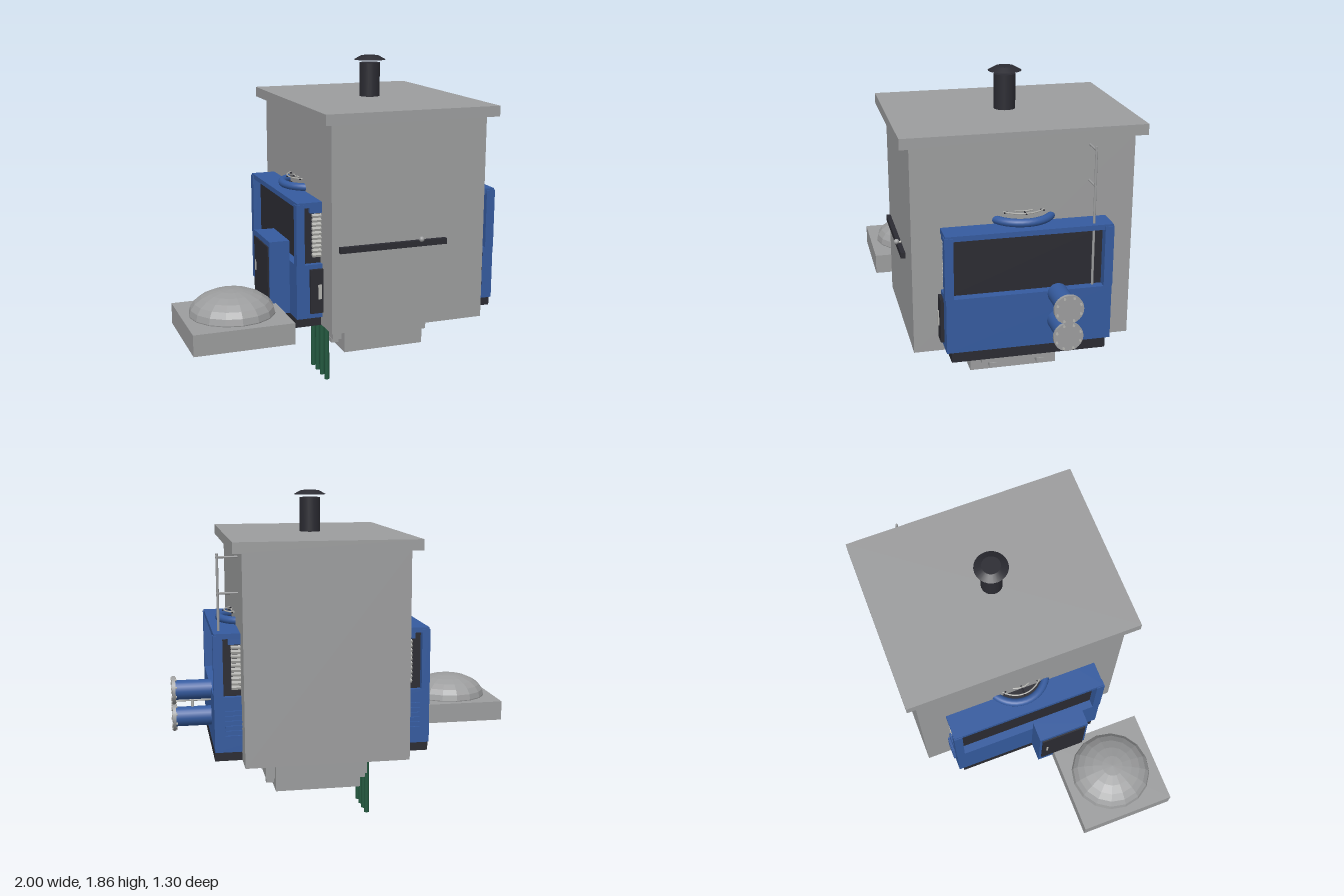
import * as THREE from 'three';

const mat = (name, color, double = false) => {
  const m = new THREE.MeshStandardMaterial({ color });
  m.name = name;
  if (double) m.side = THREE.DoubleSide;
  return m;
};

export function createModel() {
  const root = new THREE.Group();
  root.name = 'machineHouse';
  const grey = mat('concreteGrey', 0x9c9d9e);
  const blue = mat('machineBlue', 0x355b9f);
  const dark = mat('charcoal', 0x2b2b32);
  const pale = mat('paleMetal', 0xb4b4b0);
  const green = mat('conduitGreen', 0x23583f);
  const orange = mat('vesselOrange', 0xb4682c);

  const add = (name, geo, m, x = 0, y = 0, z = 0) => {
    const mesh = new THREE.Mesh(geo, m);
    mesh.name = name;
    mesh.position.set(x, y, z);
    root.add(mesh);
    return mesh;
  };
  // Box given by its limits on each axis
  const box = (name, m, x0, x1, y0, y1, z0, z1) =>
    add(name, new THREE.BoxGeometry(x1 - x0, y1 - y0, z1 - z0), m, (x0 + x1) / 2, (y0 + y1) / 2, (z0 + z1) / 2);
  const rod = (name, m, r, len, axis, x, y, z, sides = 16) => {
    const g = new THREE.CylinderGeometry(r, r, len, sides);
    if (axis === 'x') g.rotateZ(Math.PI / 2);
    if (axis === 'z') g.rotateX(Math.PI / 2);
    return add(name, g, m, x, y, z);
  };
  const CX = 0.2, CZ = -0.012; // centre of the house

  // House and roof
  box('houseWalls', grey, -0.24, 0.64, 0.45, 1.575, -0.6, 0.575);
  box('roofSlab', grey, -0.29, 0.69, 1.575, 1.632, -0.652, 0.628);

  // Chimney with a floating rain cap
  rod('chimney', dark, 0.058, 0.19, 'y', CX, 1.725, CZ, 24);
  add('chimneyCap', new THREE.CylinderGeometry(0.05, 0.09, 0.022, 24), dark, CX, 1.848, CZ);

  // Front rail and its knob
  box('frontRail', dark, -0.2, 0.41, 0.895, 0.927, 0.575, 0.6);
  rod('railKnobStem', pale, 0.006, 0.035, 'z', 0.26, 0.932, 0.595, 8);
  add('railKnob', new THREE.SphereGeometry(0.015, 12, 8), grey, 0.26, 0.935, 0.602);

  // Machine: base, lower body, recessed core, corner posts and top
  box('machineBase', dark, -0.385, 0.785, 0.446, 0.5, -0.425, 0.4);
  box('lowerBody', blue, -0.385, 0.785, 0.5, 0.8, -0.452, 0.425);
  box('recessedCore', dark, -0.34, 0.735, 0.8, 1.115, -0.42, 0.395);
  box('machineTop', blue, -0.38, 0.78, 1.112, 1.14, -0.452, 0.425);
  for (const [x0, x1] of [[-0.385, -0.34], [0.735, 0.785]])
    for (const [z0, z1] of [[-0.455, -0.408], [0.384, 0.43]])
      box('cornerPost', blue, x0, x1, 0.8, 1.13, z0, z1);

  // End faces: header, louvres and lower access panels
  for (const side of [-1, 1]) {
    const edge = (d) => CX + side * d;
    const span = (name, m, a, b, y0, y1, z0, z1) =>
      box(name, m, Math.min(edge(a), edge(b)), Math.max(edge(a), edge(b)), y0, y1, z0, z1);
    for (const [face, dir] of [[0.395, 1], [-0.42, -1]]) {
      const zr = (d) => [Math.min(face, face + dir * d), Math.max(face, face + dir * d)];
      span('endHeader', blue, 0.4, 0.505, 1.08, 1.115, ...zr(0.025));
      for (let i = 0; i < 10; i++) {
        const slat = span('louvreSlat', pale, 0.4, 0.49, 0.84 + i * 0.024, 0.853 + i * 0.024, ...zr(0.022));
        slat.rotation.x = dir * 0.35;
      }
    }
    span('accessPanel', dark, 0.4, 0.512, 0.53, 0.775, 0.425, 0.443);
    span('accessHandle', pale, 0.45, 0.47, 0.61, 0.69, 0.443, 0.449);
    for (let i = 0; i < 6; i++)
      span('rearVent', blue, 0.44, 0.53, 0.58 + i * 0.027, 0.592 + i * 0.027, -0.464, -0.452);
  }

  // Two roof fans with wire guards
  for (const x of [-0.15, 0.55]) {
    const ring = new THREE.TorusGeometry(0.168, 0.022, 12, 40);
    ring.rotateX(Math.PI / 2);
    add('fanRing', ring, blue, x, 1.16, CZ);
    rod('fanWell', dark, 0.16, 0.008, 'y', x, 1.144, CZ, 32);
    for (const r of [0.06, 0.1, 0.14]) {
      const wire = new THREE.TorusGeometry(r, 0.004, 6, 32);
      wire.rotateX(Math.PI / 2);
      add('guardWire', wire, pale, x, 1.2, CZ);
    }
    for (let i = 0; i < 4; i++) {
      const spoke = rod('guardSpoke', dark, 0.004, 0.3, 'x', x, 1.198, CZ, 6);
      spoke.rotation.y = (i * Math.PI) / 4;
    }
  }

  // Twin side pipes with bolted flanges and a link
  for (const y of [0.785, 0.635]) {
    rod('sidePipe', blue, 0.054, 0.2, 'x', 0.88, y, -0.16, 24);
    rod('pipeFlange', grey, 0.078, 0.018, 'x', 0.986, y, -0.16, 24);
    for (let i = 0; i < 8; i++) {
      const a = ((i + 0.5) * Math.PI) / 4;
      rod('flangeBolt', pale, 0.007, 0.03, 'x', 0.985, y + 0.066 * Math.sin(a), -0.16 + 0.066 * Math.cos(a), 6);
    }
  }
  rod('pipeLink', pale, 0.008, 0.06, 'y', 0.885, 0.71, -0.16, 8);
  rod('pipeTie', pale, 0.006, 0.2, 'x', 0.885, 0.725, -0.16, 8);

  // Climbing post with two brackets
  rod('climbingPost', grey, 0.007, 0.75, 'y', 0.747, 1.175, -0.357, 8);
  for (const y of [1.34, 1.53]) rod('postBracket', grey, 0.006, 0.115, 'x', 0.697, y, -0.357, 8);

  // Control cabinet with a dark door
  box('controlCabinet', blue, -0.497, -0.385, 0.5, 0.91, 0.01, 0.3);
  box('cabinetDoor', dark, -0.505, -0.497, 0.565, 0.88, 0.025, 0.285);
  box('doorHandle', pale, -0.509, -0.505, 0.69, 0.75, 0.05, 0.06);

  // Ground pad with a faceted dome
  box('groundPad', grey, -1, -0.465, 0.45, 0.565, 0.105, 0.645);
  const domeGeo = new THREE.SphereGeometry(0.23, 16, 12).toNonIndexed();
  domeGeo.scale(1, 0.55, 1);
  domeGeo.computeVertexNormals();
  add('dome', domeGeo, grey, -0.73, 0.57, 0.375);

  // Sump below the house, with its side wall plates, ledges and brackets
  box('sumpBody', grey, -0.04, 0.44, 0.2, 0.447, -0.255, 0.235);
  box('sumpSides', grey, -0.09, 0.49, 0.262, 0.435, -0.21, 0.18);
  for (const [z0, z1] of [[-0.25, -0.22], [0.2, 0.23]]) {
    box('sumpLedge', grey, -0.2, 0.6, 0.43, 0.447, z0, z1);
    box('sumpStep', grey, -0.17, 0.52, 0.413, 0.43, z0, z1);
  }
  for (const z of [0.115, -0.155])
    for (const s of [-1, 1]) {
      const px = CX + s * 0.3;
      box('sumpBracket', grey, px - 0.012, px + 0.012, 0.37, 0.446, z - 0.01, z + 0.01);
      const fx = CX + s * 0.26;
      box('sumpFoot', grey, fx - 0.025, fx + 0.025, 0.228, 0.255, z - 0.02, z + 0.02);
    }

  // Pale trim frame on the underside of the base
  const trim = (x0, x1, z0, z1) => box('undersideTrim', grey, x0, x1, 0.442, 0.447, z0, z1);
  trim(-0.25, 0.65, 0.27, 0.31);
  trim(-0.25, 0.65, -0.34, -0.3);
  trim(-0.25, -0.21, -0.3, 0.27);
  trim(0.61, 0.65, -0.3, 0.27);

  // Orange vessel lying over the sump
  const vessel = new THREE.SphereGeometry(1, 24, 16);
  vessel.scale(0.12, 0.085, 0.3);
  add('vessel', vessel, orange, CX, 0.475, CZ);

  // Conduits running into the ground
  for (const z of [0.11, 0.03, -0.05, -0.13]) rod('conduit', green, 0.015, 0.446, 'y', -0.105, 0.223, z, 12);

  return root;
}
